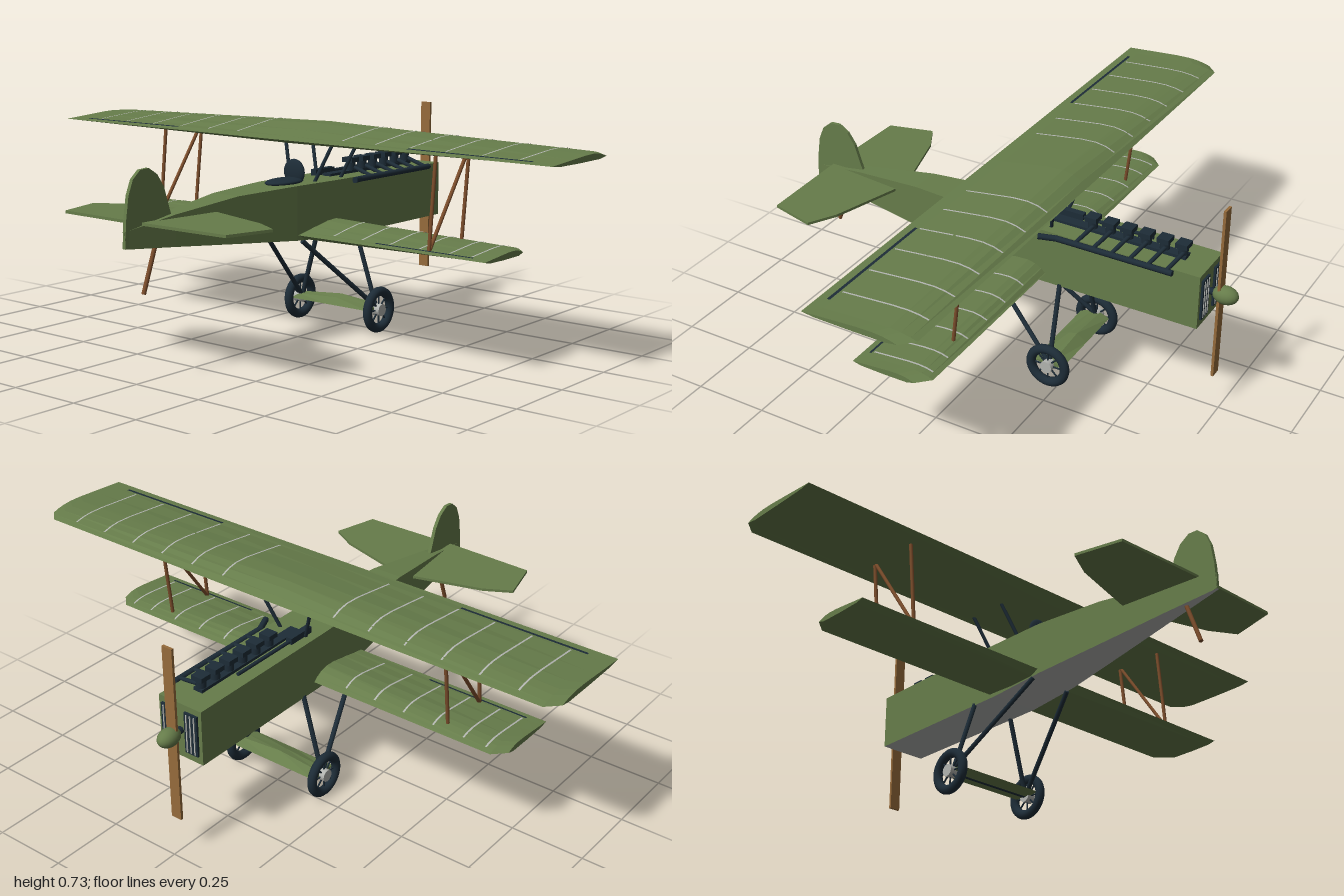
import * as THREE from 'three';

const mat = (name, color, side = THREE.FrontSide) => {
  const m = new THREE.MeshStandardMaterial({ color, side });
  m.name = name;
  return m;
};
const V = (x, y, z) => new THREE.Vector3(x, y, z);

// Flat-faced skin through matching rings; closed rings wrap round, caps fill both ends
function loft(rings, closed = true, caps = true) {
  const pos = [];
  const tri = (...ps) => ps.forEach((p) => pos.push(...p));
  const n = rings[0].length;
  for (let i = 0; i < rings.length - 1; i++) {
    for (let j = 0; j < (closed ? n : n - 1); j++) {
      const k = (j + 1) % n;
      const a = rings[i][j], b = rings[i][k], c = rings[i + 1][k], d = rings[i + 1][j];
      tri(a, b, c);
      tri(a, c, d);
    }
  }
  if (caps) {
    const s = rings[0], e = rings[rings.length - 1];
    for (let j = 1; j < n - 1; j++) {
      tri(s[0], s[j + 1], s[j]);
      tri(e[0], e[j], e[j + 1]);
    }
  }
  const g = new THREE.BufferGeometry();
  g.setAttribute('position', new THREE.Float32BufferAttribute(pos, 3));
  g.computeVertexNormals();
  return g;
}

// Aerofoil as [chord fraction, height]
const UPPER = [[0, 0], [0.06, 0.42], [0.15, 0.82], [0.25, 1], [0.4, 0.93], [0.65, 0.55], [0.87, 0.2], [1, 0]];
const LOWER = [[0.87, -0.8], [0.5, -1], [0.12, -0.9]];

export function createModel() {
  const root = new THREE.Group();
  root.name = 'biplane';
  const green = mat('olive green', 0x667c4a);
  const dark = mat('dark metal', 0x1d2c37);
  const wood = mat('propeller wood', 0x966b3b);
  const strutWood = mat('strut wood', 0x7c4d2b);
  const grey = mat('light grey', 0xb2b4b0, THREE.DoubleSide);

  const add = (name, geo, m, x = 0, y = 0, z = 0, parent = root) => {
    const o = new THREE.Mesh(geo, m);
    o.name = name;
    o.position.set(x, y, z);
    parent.add(o);
    return o;
  };
  const box = (name, w, h, d, m, x, y, z, parent) =>
    add(name, new THREE.BoxGeometry(w, h, d), m, x, y, z, parent);
  const rod = (name, a, b, r, m, parent = root) => {
    const o = add(name, new THREE.CylinderGeometry(r, r, a.distanceTo(b), 8), m, 0, 0, 0, parent);
    o.position.copy(a).lerp(b, 0.5);
    o.quaternion.setFromUnitVectors(V(0, 1, 0), b.clone().sub(a).normalize());
    return o;
  };

  // Fuselage stations: z, half width, bottom, top
  const stations = [
    [-0.69, 0.083, 0.335, 0.522], [-0.1, 0.085, 0.335, 0.525], [0.1, 0.08, 0.35, 0.527],
    [0.35, 0.053, 0.373, 0.522], [0.6, 0.026, 0.397, 0.495], [0.79, 0.004, 0.414, 0.465],
  ];
  add('fuselage', loft(stations.map(([z, w, b, t]) =>
    [[w, b, z], [w, t, z], [-w, t, z], [-w, b, z]]), false), green);
  add('belly', loft(stations.map(([z, w, b]) => [[-w, b, z], [w, b, z]]), false, false), grey);

  // Wings with ribs and aileron gaps
  function wing(name, half, z0, z1, y, up, down, ribs, gap) {
    const g = new THREE.Group();
    g.name = name;
    root.add(g);
    const point = (x, [f, h], lift = 0, lead = z0) => {
      const k = 1 - 0.64 * Math.abs(x) / half;
      return [x, y + h * k * (h > 0 ? up : down) + lift, lead + f * (z1 - lead)];
    };
    const loop = [...UPPER, ...LOWER];
    const ring = (x, lead) => loop.map((p) => point(x, p, 0, lead));
    const tip = half - 0.04;
    add('wingSkin', loft([ring(-half, z0 + 0.04), ring(-tip, z0), ring(0, z0),
      ring(tip, z0), ring(half, z0 + 0.04)]), green, 0, 0, 0, g);
    for (const s of [-1, 1]) {
      for (const r of ribs) {
        add('rib', loft([-0.003, 0.003].map((d) =>
          UPPER.slice(1, -1).map((p) => point(s * r + d, p, 0.002))), false, false), grey, 0, 0, 0, g);
      }
      const band = gap.map((x) => [[0.89, 0.17], [0.92, 0.125]].map((p) => point(s * x, p, 0.002)));
      if (s < 0) band.reverse();
      add('aileronGap', loft(band, false, false), dark, 0, 0, 0, g);
    }
  }
  wing('upperWing', 1, -0.26, 0.095, 0.669, 0.038, 0.018,
    [0.22, 0.35, 0.48, 0.61, 0.74, 0.87], [0.48, 0.92]);
  wing('lowerWing', 0.785, -0.16, 0.095, 0.367, 0.034, 0.022,
    [0.2, 0.31, 0.42, 0.53, 0.64, 0.72], [0.37, 0.73]);

  // Tailplane and fin, cut from flat outlines
  const plate = (pts, depth) => {
    const g = new THREE.ExtrudeGeometry(new THREE.Shape(pts.map((p) => new THREE.Vector2(...p))),
      { depth, bevelEnabled: false });
    return g.translate(0, 0, -depth / 2);
  };
  const halfTail = [[0.04, 0.44], [0.28, 0.51], [0.37, 0.56], [0.33, 0.715], [0.04, 0.722]];
  const tail = [...halfTail, ...halfTail.map(([x, z]) => [-x, z]).reverse()];
  add('tailplane', plate(tail, 0.009).rotateX(Math.PI / 2), green, 0, 0.48, 0);
  const fin = [[0.59, 0.47], [0.605, 0.51], [0.628, 0.58], [0.655, 0.62], [0.69, 0.642],
    [0.725, 0.64], [0.755, 0.615], [0.774, 0.57], [0.785, 0.5], [0.79, 0.415], [0.72, 0.41]];
  add('fin', plate(fin.map(([z, y]) => [-z, y]), 0.012).rotateY(Math.PI / 2), green);
  rod('tailSkid', V(0, 0.41, 0.662), V(0, 0.268, 0.714), 0.007, strutWood);

  // Cockpit rim and upright seat back
  const rim = add('cockpit', new THREE.SphereGeometry(0.05, 20, 12), dark, 0, 0.531, 0.07);
  rim.scale.set(0.95, 0.25, 1.6);
  const back = add('headrest', new THREE.SphereGeometry(0.043, 20, 12), dark, 0, 0.557, 0.018);
  back.scale.set(1, 1, 0.3);

  // Engine: six cylinders feeding one exhaust pipe
  const engine = new THREE.Group();
  engine.name = 'engine';
  root.add(engine);
  box('crankcase', 0.035, 0.012, 0.46, dark, 0, 0.527, -0.38, engine);
  for (let i = 0; i < 6; i++) {
    const z = -0.282 - i * 0.0625;
    add('cylinder', new THREE.CylinderGeometry(0.016, 0.016, 0.04, 12), dark, 0, 0.545, z, engine);
    box('cylinderHead', 0.042, 0.016, 0.04, dark, 0, 0.567, z, engine);
    rod('exhaustBranch', V(0.01, 0.542, z - 0.005), V(0.098, 0.52, z + 0.012), 0.007, dark, engine);
  }
  rod('exhaustPipe', V(0.098, 0.518, -0.605), V(0.098, 0.518, -0.2), 0.01, dark, engine);
  rod('exhaustEnd', V(0.098, 0.518, -0.205), V(0.12, 0.522, -0.15), 0.01, dark, engine);
  rod('gunBarrel', V(-0.04, 0.532, -0.475), V(-0.04, 0.532, -0.2), 0.006, dark);
  box('gunBody', 0.022, 0.025, 0.1, dark, -0.04, 0.533, -0.18);

  // Radiator panels, propeller and spinner
  for (const s of [-1, 1]) {
    box('radiator', 0.05, 0.14, 0.009, dark, s * 0.045, 0.432, -0.693);
    for (let i = -1; i <= 1; i++) {
      box('radiatorSlat', 0.004, 0.13, 0.006, grey, s * 0.045 + i * 0.015, 0.432, -0.697);
    }
  }
  rod('propellerShaft', V(0, 0.43, -0.69), V(0, 0.43, -0.74), 0.012, dark);
  box('propeller', 0.038, 0.6, 0.009, wood, 0, 0.43, -0.727);
  const spinner = add('spinner', new THREE.SphereGeometry(0.03, 18, 14), green, 0, 0.43, -0.743);
  spinner.scale.z = 1.42;

  // Axle fairing
  const fairing = (x, h) => [[x, 0.083, -0.27], [x, 0.083 + h, -0.235], [x, 0.083 + h * 0.7, -0.205],
    [x, 0.083, -0.165], [x, 0.075, -0.22]];
  add('axleFairing', loft([fairing(-0.165, 0.012), fairing(0, 0.026), fairing(0.165, 0.012)]), green);
  rod('axle', V(-0.18, 0.082, -0.22), V(0.18, 0.082, -0.22), 0.009, dark);

  for (const s of [-1, 1]) {
    // Wing struts and cabane struts
    const x = s * 0.565;
    rod('rearStrut', V(x, 0.37, 0.062), V(x, 0.67, 0.032), 0.006, strutWood);
    rod('frontStrut', V(x, 0.375, -0.115), V(x, 0.67, -0.15), 0.006, strutWood);
    rod('diagonalStrut', V(x, 0.37, 0.06), V(x, 0.67, -0.15), 0.006, strutWood);
    rod('cabaneRear', V(s * 0.05, 0.52, -0.022), V(s * 0.105, 0.665, -0.062), 0.006, dark);
    rod('cabaneFront', V(s * 0.05, 0.52, -0.16), V(s * 0.105, 0.665, -0.2), 0.006, dark);

    // Landing gear legs
    rod('rearLeg', V(s * 0.076, 0.345, 0.07), V(s * 0.16, 0.095, -0.21), 0.008, dark);
    rod('frontLeg', V(s * 0.08, 0.34, -0.21), V(s * 0.16, 0.085, -0.22), 0.008, dark);

    // Wheel
    const wheel = new THREE.Group();
    wheel.name = 'wheel';
    wheel.position.set(s * 0.17, 0.08, -0.22);
    wheel.rotation.y = Math.PI / 2;
    root.add(wheel);
    const tyre = add('tyre', new THREE.TorusGeometry(0.062, 0.016, 12, 32), dark, 0, 0, 0, wheel);
    tyre.scale.z = 0.95;
    const hub = add('hub', new THREE.CylinderGeometry(0.021, 0.021, 0.03, 12), grey, 0, 0, 0, wheel);
    hub.rotation.x = Math.PI / 2;
    for (let i = 0; i < 4; i++) {
      const a = i * Math.PI / 4;
      const p = V(Math.cos(a) * 0.055, Math.sin(a) * 0.055, 0);
      rod('spoke', p, p.clone().negate(), 0.003, dark, wheel);
    }
  }
  return root;
}
